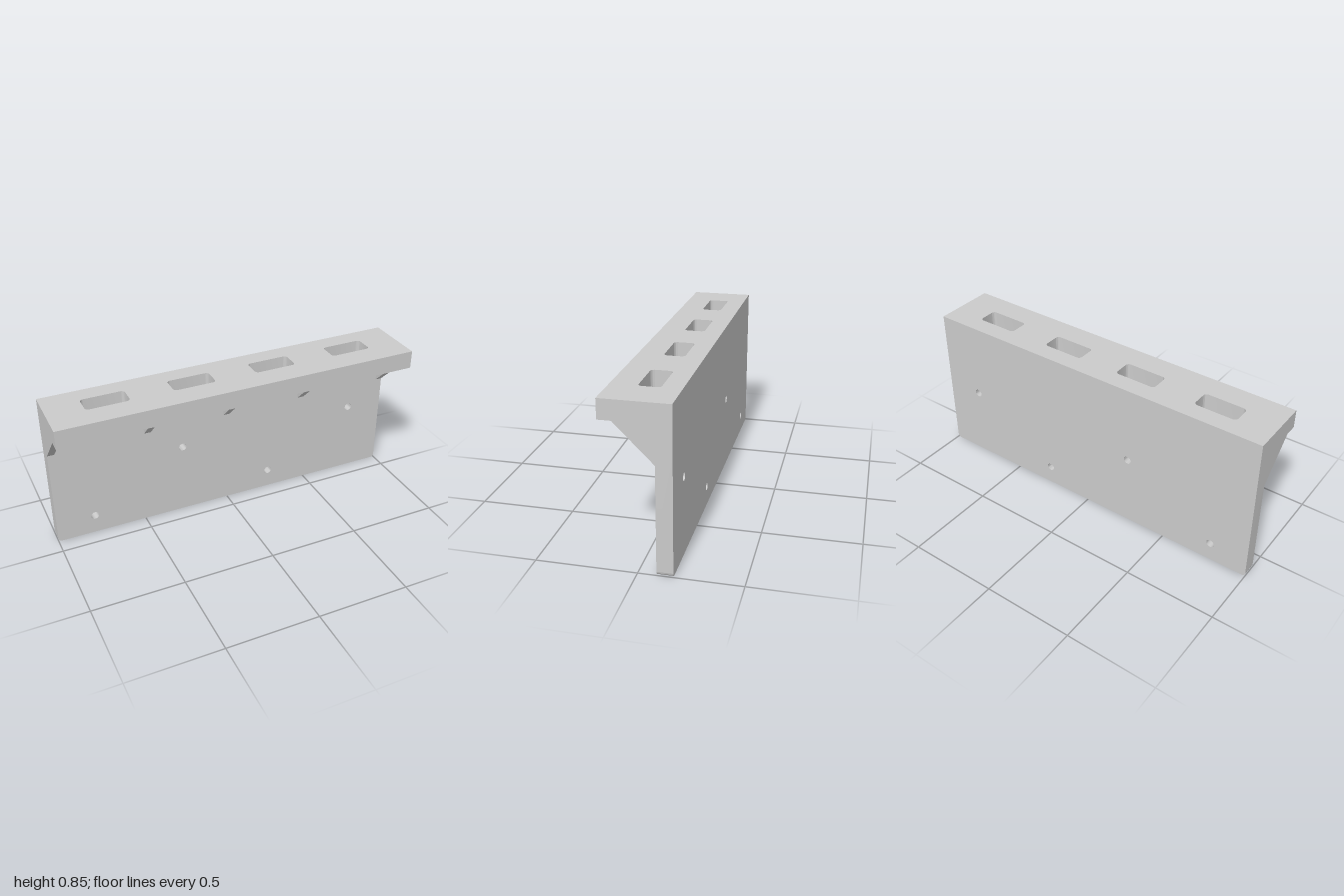
import * as THREE from 'three';
import { toCreasedNormals } from 'three/addons/utils/BufferGeometryUtils.js';

const material = new THREE.MeshStandardMaterial({ color: 0xcccccc });
const WIDTH = 2, HEIGHT = 0.845, BACK = -0.17, PLATE_FRONT = -0.09, FRONT = 0.17;
const SHELF_BOTTOM = 0.745;

// Rectangle outline with separate bottom and top corner radii
function roundedRect(target, x0, y0, x1, y1, rb, rt) {
  target.moveTo(x0 + rb, y0);
  target.lineTo(x1 - rb, y0);
  if (rb) target.absarc(x1 - rb, y0 + rb, rb, -Math.PI / 2, 0);
  target.lineTo(x1, y1 - rt);
  if (rt) target.absarc(x1 - rt, y1 - rt, rt, 0, Math.PI / 2);
  target.lineTo(x0 + rt, y1);
  if (rt) target.absarc(x0 + rt, y1 - rt, rt, Math.PI / 2, Math.PI);
  target.lineTo(x0, y0 + rb);
  if (rb) target.absarc(x0 + rb, y0 + rb, rb, Math.PI, Math.PI * 1.5);
  return target;
}

function extrude(shape, depth) {
  return new THREE.ExtrudeGeometry(shape, { depth, bevelEnabled: false, curveSegments: 10 });
}

export function createModel() {
  const model = new THREE.Group();
  model.name = 'wallBracketRack';
  const add = (name, geometry) => {
    const mesh = new THREE.Mesh(toCreasedNormals(geometry, 0.7), material);
    mesh.name = name;
    model.add(mesh);
  };

  // Back plate with rounded lower corners and four screw holes
  const plate = roundedRect(new THREE.Shape(), -WIDTH / 2, 0, WIDTH / 2, HEIGHT, 0.02, 0);
  for (const [x, y] of [[-0.786, 0.108], [-0.263, 0.41], [0.262, 0.108], [0.785, 0.41]]) {
    plate.holes.push(new THREE.Path().absarc(x, y, 0.022, 0, Math.PI * 2, true));
  }
  add('backPlate', extrude(plate, PLATE_FRONT - BACK).translate(0, 0, BACK));

  // Shelf with four rounded slots, drawn in plan and raised to height
  const shelf = roundedRect(new THREE.Shape(), -WIDTH / 2, -FRONT, WIDTH / 2, -PLATE_FRONT, 0, 0);
  for (const x of [-0.692, -0.23, 0.23, 0.692]) {
    shelf.holes.push(roundedRect(new THREE.Path(), x - 0.116, -0.038, x + 0.116, 0.071, 0.02, 0.02));
  }
  add('slottedShelf', extrude(shelf, HEIGHT - SHELF_BOTTOM).rotateX(-Math.PI / 2).translate(0, SHELF_BOTTOM, 0));

  // Triangular gussets under the shelf
  const thickness = 0.038;
  const gusset = new THREE.Shape([
    new THREE.Vector2(PLATE_FRONT, 0.552),
    new THREE.Vector2(0.103, SHELF_BOTTOM),
    new THREE.Vector2(PLATE_FRONT, SHELF_BOTTOM),
  ]);
  for (const x of [-0.981, -0.46, 0, 0.46, 0.981]) {
    add('gusset', extrude(gusset, thickness).rotateY(-Math.PI / 2).translate(x + thickness / 2, 0, 0));
  }

  return model;
}
